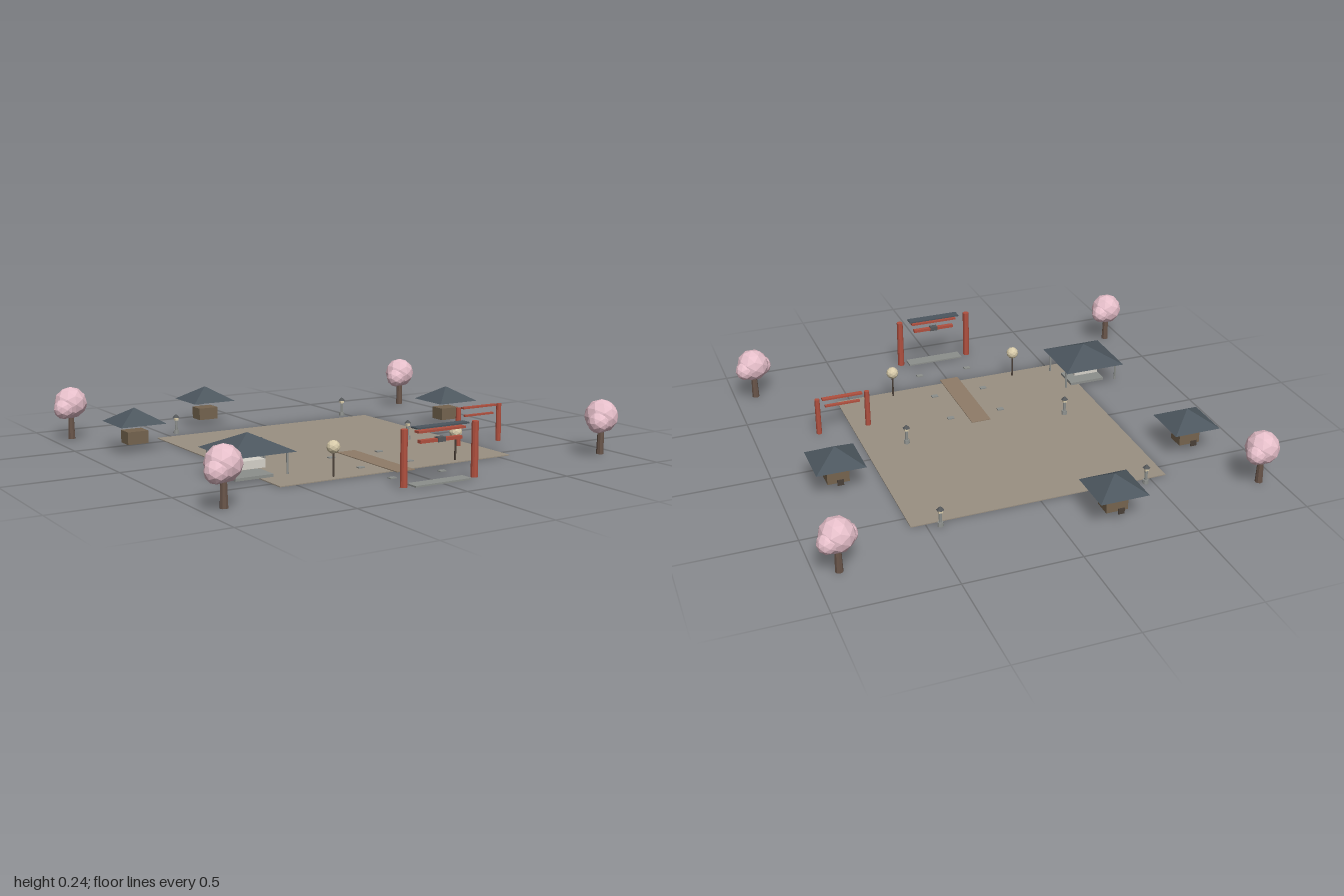
import * as THREE from 'three';

const paint = (color) => new THREE.MeshStandardMaterial({ color, flatShading: true });
const MAT = {
  ground: paint(0x9a9082), path: paint(0x8f7c68), stone: paint(0x8c8f8c), darkStone: paint(0x55585a),
  roof: paint(0x4c565e), wood: paint(0x75644f), trunk: paint(0x69554a), darkWood: paint(0x4a4038),
  red: paint(0xb0503f), plaster: paint(0xd6d2ca), paper: paint(0xd8cbaa), blossom: paint(0xe6bfca),
};
const CX = -0.006; // axis of symmetry of the courtyard

function add(parent, name, geometry, material, x, y, z) {
  const mesh = new THREE.Mesh(geometry, MAT[material]);
  mesh.name = name;
  mesh.position.set(x, y, z);
  parent.add(mesh);
  return mesh;
}

// Box and cylinder given by their bottom and top heights
const box = (p, name, mat, w, d, y0, y1, x = 0, z = 0) =>
  add(p, name, new THREE.BoxGeometry(w, y1 - y0, d), mat, x, (y0 + y1) / 2, z);
const post = (p, name, mat, r0, r1, y0, y1, x = 0, z = 0, sides = 8) =>
  add(p, name, new THREE.CylinderGeometry(r1, r0, y1 - y0, sides), mat, x, (y0 + y1) / 2, z);
const ball = (p, name, mat, r, x, y, z) =>
  add(p, name, new THREE.IcosahedronGeometry(r, 1), mat, x, y, z);

function group(parent, name, x, z) {
  const g = new THREE.Group();
  g.name = name;
  g.position.set(x, 0, z);
  parent.add(g);
  return g;
}

// Square pyramid roof with sides parallel to the axes
function pyramidRoof(parent, size, y0, y1) {
  const geometry = new THREE.ConeGeometry(size * Math.SQRT1_2, y1 - y0, 4).rotateY(Math.PI / 4);
  add(parent, 'roof', geometry, 'roof', 0, (y0 + y1) / 2, 0);
}

function hut(parent, x, z) {
  const g = group(parent, 'hut', x, z);
  box(g, 'hutBody', 'wood', 0.096, 0.077, 0.034, 0.09);
  box(g, 'doorPanel', 'darkWood', 0.028, 0.004, 0.044, 0.07, 0, -0.075);
  pyramidRoof(g, 0.213, 0.125, 0.19);
}

function pavilion(parent, x, z) {
  const g = group(parent, 'pavilion', x, z);
  box(g, 'pavilionFloor', 'stone', 0.17, 0.12, 0.011, 0.023);
  box(g, 'pavilionBlock', 'plaster', 0.118, 0.083, 0.049, 0.083);
  box(g, 'ceilingPanel', 'red', 0.125, 0.1, 0.108, 0.115);
  for (const sx of [-1, 1]) for (const sz of [-1, 1])
    post(g, 'pavilionPost', 'stone', 0.005, 0.005, 0.025, 0.122, sx * 0.128, sz * 0.095);
  pyramidRoof(g, 0.29, 0.121, 0.19);
}

function mainGate(parent, x, z) {
  const g = group(parent, 'mainGate', x, z);
  for (const s of [-1, 1]) post(g, 'gatePost', 'red', 0.0155, 0.0145, 0.005, 0.232, s * 0.171, 0, 10);
  box(g, 'gateCap', 'roof', 0.25, 0.043, 0.229, 0.235);
  box(g, 'upperBeam', 'red', 0.225, 0.03, 0.211, 0.22);
  box(g, 'lowerBeam', 'red', 0.2, 0.02, 0.169, 0.182);
  box(g, 'plaque', 'darkStone', 0.036, 0.026, 0.167, 0.186);
  box(g, 'gateSlab', 'stone', 0.27, 0.06, 0.004, 0.011);
}

function sideGate(parent, x, z) {
  const g = group(parent, 'sideGate', x, z);
  for (const s of [-1, 1]) post(g, 'gatePost', 'red', 0.0125, 0.0115, 0.005, 0.176, s * 0.114, 0, 10);
  box(g, 'upperBeam', 'red', 0.184, 0.021, 0.168, 0.176);
  box(g, 'lowerBeam', 'red', 0.16, 0.014, 0.132, 0.14);
}

function stoneLantern(parent, x, z) {
  const g = group(parent, 'stoneLantern', x, z);
  post(g, 'lanternBase', 'stone', 0.014, 0.012, 0.007, 0.025);
  post(g, 'lanternStem', 'stone', 0.007, 0.007, 0.025, 0.067);
  box(g, 'lanternLight', 'paper', 0.016, 0.016, 0.069, 0.079);
  post(g, 'lanternCap', 'darkStone', 0.017, 0.003, 0.082, 0.096, 0, 0, 6);
}

function globeLamp(parent, x, z) {
  const g = group(parent, 'globeLamp', x, z);
  post(g, 'lampPole', 'darkWood', 0.0045, 0.004, 0.004, 0.105);
  ball(g, 'lampGlobe', 'paper', 0.028, 0, 0.125, 0);
}

function blossomTree(parent, x, z) {
  const g = group(parent, 'blossomTree', x, z);
  post(g, 'trunk', 'trunk', 0.0165, 0.0125, 0.004, 0.125);
  ball(g, 'crown', 'blossom', 0.073, 0, 0.17, 0);
  ball(g, 'frontCluster', 'blossom', 0.047, -0.042, 0.149, 0.028);
  ball(g, 'backCluster', 'blossom', 0.044, 0.043, 0.159, -0.028);
}

export function createModel() {
  const model = new THREE.Group();
  model.name = 'courtyard';

  // Ground, path and stepping stones
  box(model, 'ground', 'ground', 1.136, 1.139, 0, 0.004, CX, -0.002);
  box(model, 'path', 'path', 0.09, 0.455, 0.004, 0.007, CX, 0.374);
  for (const s of [-1, 1]) for (const z of [0.222, 0.452, 0.68])
    box(model, 'steppingStone', 'stone', 0.03, 0.021, 0.004, 0.009, CX + s * 0.122, z);

  // Buildings and gates
  for (const [x, z] of [[-0.235, -0.763], [-0.766, -0.383], [0.754, -0.154]]) hut(model, x, z);
  pavilion(model, -0.613, 0.375);
  mainGate(model, CX - 0.002, 0.832);
  sideGate(model, 0.6, 0.3);

  // Mirrored lanterns, lamps and trees
  for (const s of [-1, 1]) {
    stoneLantern(model, CX + s * 0.455, -0.609);
    stoneLantern(model, CX + s * 0.38, 0.072);
    globeLamp(model, CX + s * 0.303, 0.53);
    for (const z of [-0.763, 0.757]) blossomTree(model, CX + 0.002 + s * 0.91, z);
  }
  return model;
}
